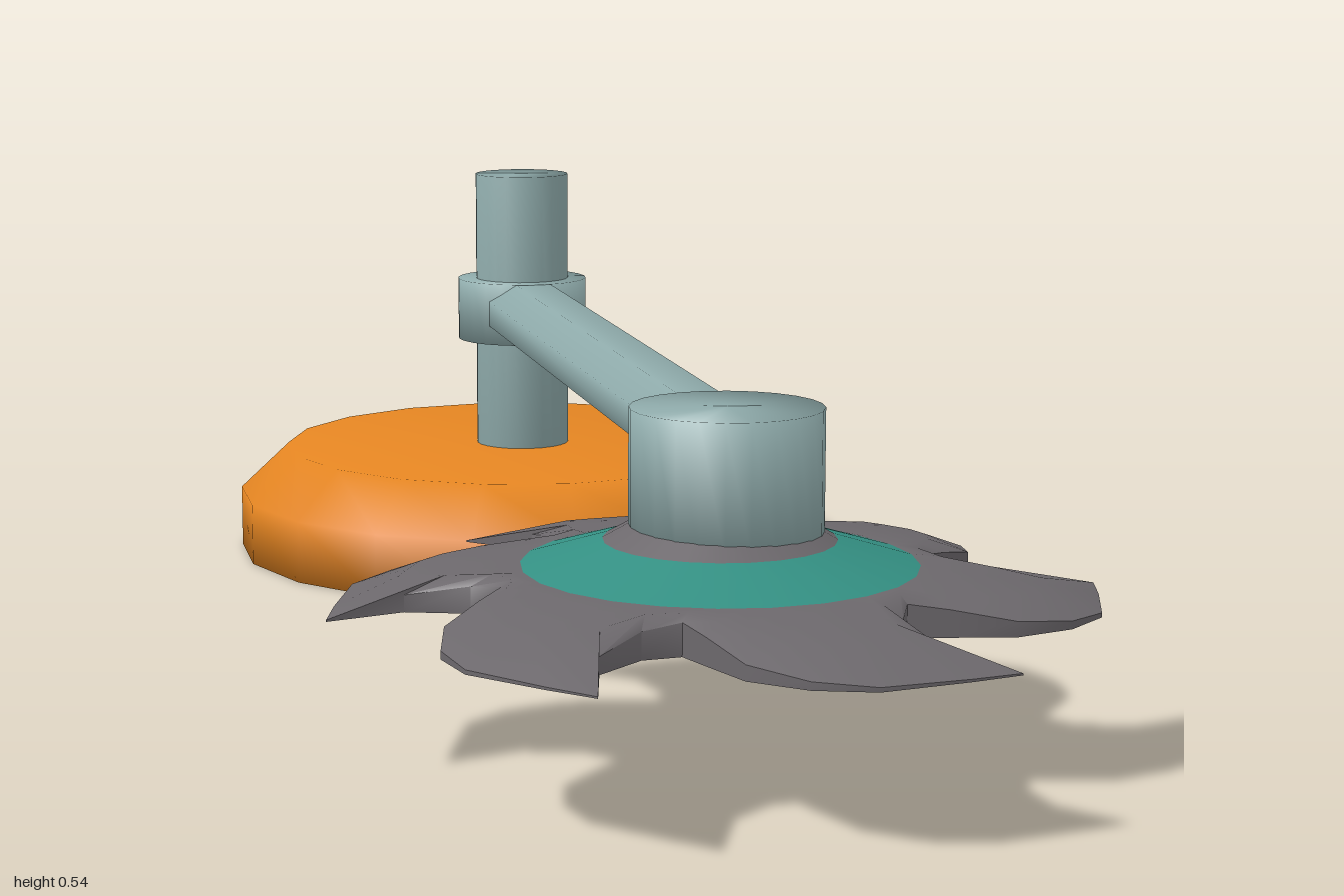
import * as THREE from 'three';
import { toCreasedNormals } from 'three/addons/utils/BufferGeometryUtils.js';

const mat = (name, color) => {
  const m = new THREE.MeshStandardMaterial({ color });
  m.name = name;
  return m;
};

export function createModel() {
  const orange = mat('orange', 0xe68622);
  const steel = mat('paleSteel', 0x8fabab);
  const teal = mat('teal', 0x349083);
  const grey = mat('darkGrey', 0x6c686c);
  const model = new THREE.Group();
  const X = 0.007, POST_Z = -0.591, HUB_Z = 0.6;

  const add = (name, geo, material, x = 0, y = 0, z = 0) => {
    const mesh = new THREE.Mesh(geo, material);
    mesh.name = name;
    mesh.position.set(x, y, z);
    model.add(mesh);
    return mesh;
  };
  // Turned solid from [radius, height] pairs, bottom to top
  const turned = (pts, sides) =>
    new THREE.LatheGeometry(pts.map(([r, y]) => new THREE.Vector2(r, y)), sides);
  const drum = (r, y0, y1) => turned([[0, y0], [r, y0], [r, y1], [0, y1]], 24);

  // Base and upright
  add('base', turned([[0, 0], [0.409, 0], [0.409, 0.085], [0.34, 0.15], [0, 0.15]], 18), orange, X, 0, POST_Z);
  add('post', drum(0.066, 0.14, 0.54), steel, X, 0, POST_Z);
  add('collar', drum(0.092, 0.303, 0.39), steel, X, 0, POST_Z);

  // Arm: flattened octagonal bar along z
  const k = 1 / Math.cos(Math.PI / 8);
  const bar = new THREE.CylinderGeometry(k, k, 1.13, 8, 1, true, Math.PI / 8);
  bar.rotateX(Math.PI / 2).scale(0.06, 0.0425, 1);
  add('arm', bar, steel, X, 0.347, 0.005);

  add('hub', drum(0.107, 0.25, 0.395), steel, X, 0, HUB_Z);

  // Blade: one tooth as [degrees, radius, height], repeated six times
  const edge = [
    [0, 0.432, 0.18], [8, 0.42, 0.181], [22, 0.413, 0.183], [31, 0.388, 0.187], [40, 0.345, 0.195],
    [47, 0.285, 0.208], [53, 0.25, 0.214], [61, 0.275, 0.208], [64.5, 0.345, 0.197],
  ];
  const mid = [
    [13, 0.35], [18, 0.345], [25, 0.34], [31, 0.325], [38, 0.295],
    [45, 0.26], [52, 0.238], [62, 0.25], [68, 0.3],
  ].map(([a, r]) => [a, r, 0.22 - (r - 0.25) * 0.13]);
  const innerAngles = [15, 19, 25, 31, 38, 45, 52, 60, 68];
  const circle = (r, y) => innerAngles.map((a) => [a, r, y]);
  const atHeight = (ring, y) => ring.map(([a, r]) => [a, r, y]);
  const low = 0.178;
  const rings = [
    circle(0.12, 0.222), circle(0.222, 0.222), mid, edge,
    atHeight(edge, low), atHeight(mid, low), circle(0.222, low), circle(0.001, low),
  ];
  const pos = [], idx = [], n = edge.length * 6;
  rings.forEach((ring) => {
    for (let t = 0; t < 6; t++) {
      for (const [a, r, y] of ring) {
        const ang = THREE.MathUtils.degToRad(a + t * 60);
        pos.push(r * Math.cos(ang), y, r * Math.sin(ang));
      }
    }
  });
  for (let j = 0; j < rings.length - 1; j++) {
    for (let i = 0; i < n; i++) {
      const a = j * n + i, b = j * n + (i + 1) % n;
      idx.push(a, b, b + n, a, b + n, a + n);
    }
  }
  const blade = new THREE.BufferGeometry();
  blade.setAttribute('position', new THREE.Float32BufferAttribute(pos, 3));
  blade.setIndex(idx);
  add('blade', toCreasedNormals(blade, 1), grey, 0, 0, HUB_Z);

  // Cone and lip over the blade
  add('bladeCone', turned([[0.225, 0.22], [0.128, 0.25]], 24), teal, 0, 0, HUB_Z);
  add('bladeLip', turned([[0.13, 0.249], [0.1, 0.266]], 24), grey, 0, 0, HUB_Z);
  return model;
}
